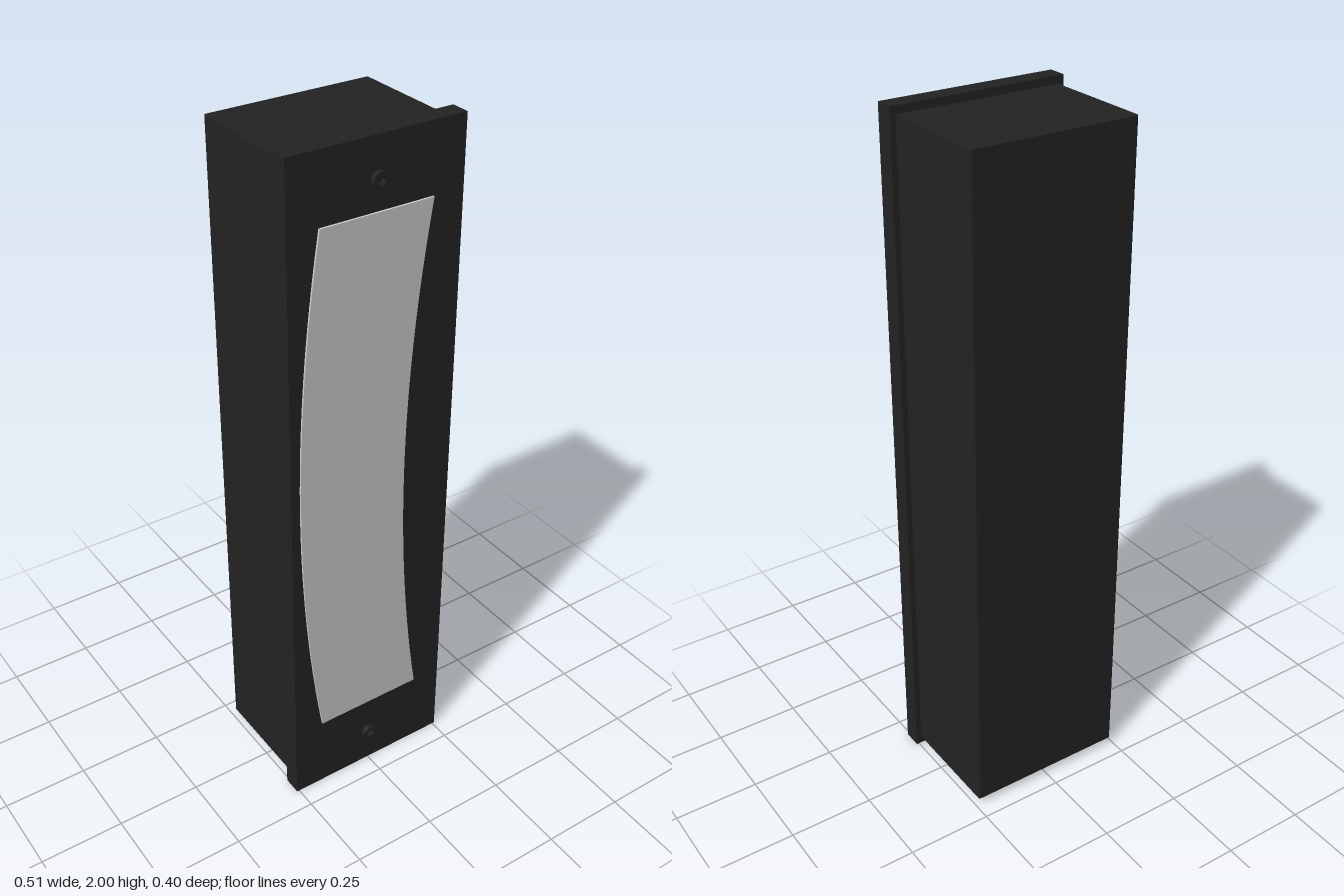
import * as THREE from 'three';

export function createModel() {
  const model = new THREE.Group();
  const black = new THREE.MeshStandardMaterial({ color: 0x232323 });
  black.name = 'matte black';
  const lightGrey = new THREE.MeshStandardMaterial({ color: 0xcbcbcb });
  lightGrey.name = 'light grey diffuser';

  const add = (name, geometry, material, x = 0, y = 0, z = 0) => {
    const mesh = new THREE.Mesh(geometry, material);
    mesh.name = name;
    mesh.position.set(x, y, z);
    model.add(mesh);
    return mesh;
  };
  const extrude = (shape, depth, curveSegments = 24) =>
    new THREE.ExtrudeGeometry(shape, { depth, bevelEnabled: false, curveSegments });

  // Housing: plan outline with softened rear corners, extruded upwards
  const w = 0.241, back = 0.2, front = -0.131, r = 0.006;
  const plan = new THREE.Shape();
  plan.moveTo(-w, front);
  plan.lineTo(w, front);
  plan.lineTo(w, back - r);
  plan.quadraticCurveTo(w, back, w - r, back);
  plan.lineTo(-w + r, back);
  plan.quadraticCurveTo(-w, back, -w, back - r);
  plan.closePath();
  add('housing', extrude(plan, 1.954, 4), black, 0, 0.024, 0).rotation.x = -Math.PI / 2;

  // Front plate
  add('frontPlate', new THREE.BoxGeometry(0.515, 2, 0.055), black, 0, 1, 0.158);

  // Curved diffuser panel, just proud of the plate
  const panel = new THREE.Shape();
  panel.moveTo(-0.17, 0.24);
  panel.lineTo(0.162, 0.24);
  panel.quadraticCurveTo(0.034, 1.025, 0.162, 1.81);
  panel.lineTo(-0.17, 1.81);
  panel.quadraticCurveTo(-0.296, 1.025, -0.17, 0.24);
  add('diffuser', extrude(panel, 0.006), lightGrey, 0, 0, 0.188);

  // Screw heads with hexagonal sockets
  const head = new THREE.Shape().absarc(0, 0, 0.023, 0, Math.PI * 2);
  const socket = new THREE.Path();
  socket.setFromPoints(Array.from({ length: 6 }, (_, i) => {
    const a = -i * Math.PI / 3;
    return new THREE.Vector2(0.012 * Math.cos(a), 0.012 * Math.sin(a));
  }));
  socket.closePath();
  head.holes.push(socket);
  const headGeometry = extrude(head, 0.015, 16);
  for (const [name, y] of [['upperScrew', 1.89], ['lowerScrew', 0.11]]) {
    add(name, headGeometry, black, 0, y, 0.185);
  }

  return model;
}
